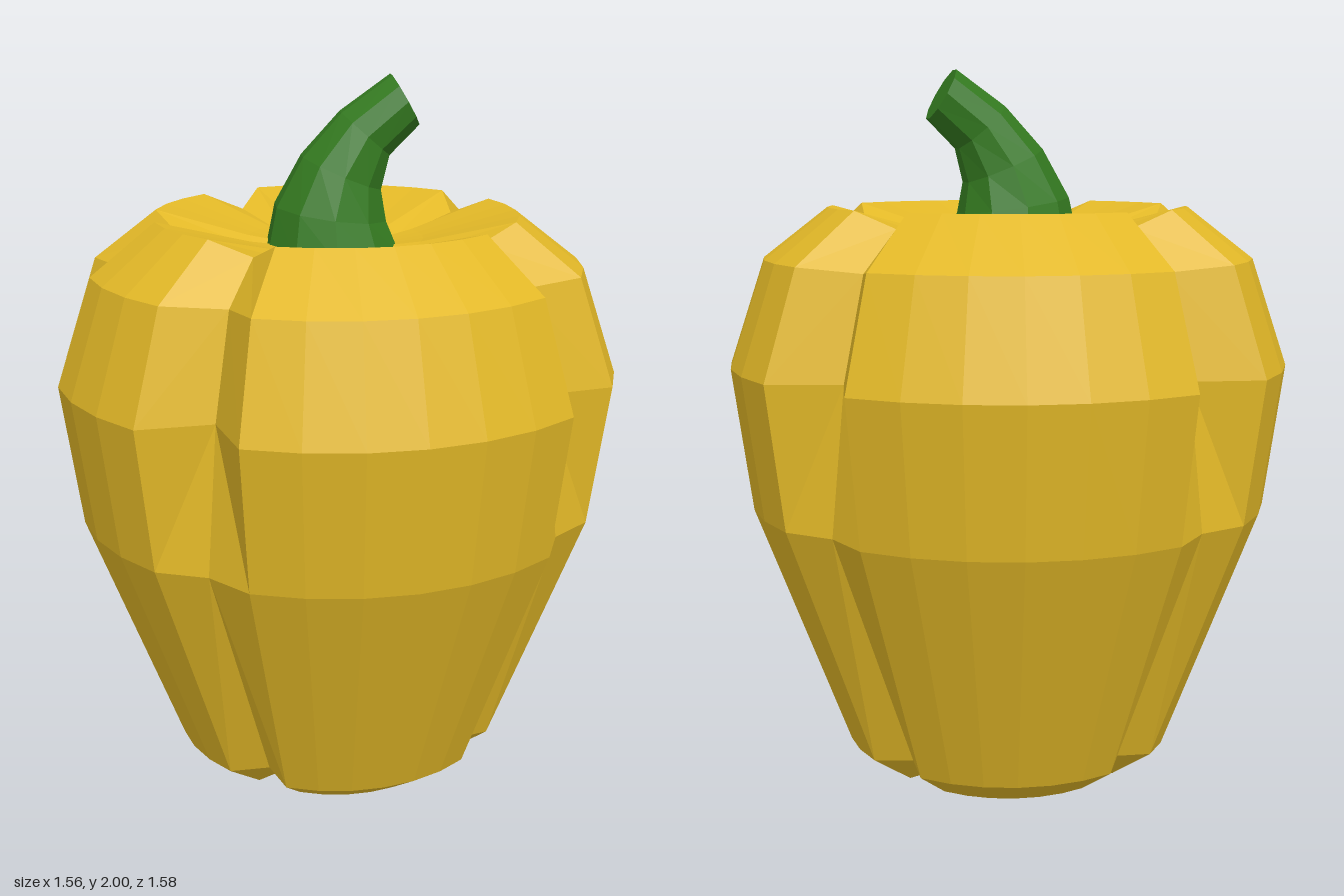
import * as THREE from 'three';

// Skin a list of point rings (bottom to top) with flat triangles.
function loft(rings, valleys, color, name) {
  const n = rings[0].length, pos = [];
  const tri = (a, b, c) => {
    const area = b.clone().sub(a).cross(c.clone().sub(a)).length();
    if (area > 1e-7) for (const p of [a, b, c]) pos.push(p.x, p.y, p.z);
  };
  for (let k = 0; k + 1 < rings.length; k++) {
    const lo = rings[k], hi = rings[k + 1];
    for (let i = 0; i < n; i++) {
      const j = (i + 1) % n;
      // The diagonal always starts at the upper end of a valley.
      if (valleys.includes(i)) {
        tri(lo[i], hi[i], lo[j]);
        tri(hi[i], hi[j], lo[j]);
      } else {
        tri(lo[i], hi[i], hi[j]);
        tri(lo[i], hi[j], lo[j]);
      }
    }
  }
  const geometry = new THREE.BufferGeometry();
  geometry.setAttribute('position', new THREE.Float32BufferAttribute(pos, 3));
  geometry.computeVertexNormals();
  const mesh = new THREE.Mesh(geometry, new THREE.MeshStandardMaterial({ color, flatShading: true }));
  mesh.name = name;
  return mesh;
}

// Five-lobed fruit: each profile row is lobe radius, lobe y, valley radius, valley y.
function createFruit() {
  const sides = 32, valleys = [3, 11, 16, 21, 29];
  const profile = [
    [0, 0.08, 0, 0.08],
    [0.352, 0, 0.29, 0.03],
    [0.472, 0.085, 0.40, 0.09],
    [0.735, 0.79, 0.685, 0.79],
    [0.788, 1.19, 0.635, 1.19],
    [0.688, 1.487, 0.56, 1.47],
    [0.507, 1.627, 0.44, 1.58],
    [0.245, 1.56, 0.22, 1.53],
    [0, 1.52, 0, 1.52],
  ];
  const rings = profile.map(([r, y, vr, vy]) =>
    Array.from({ length: sides }, (_, i) => {
      const a = (i / sides) * Math.PI * 2;
      const inValley = valleys.includes(i);
      const radius = inValley ? vr : r;
      return new THREE.Vector3(Math.cos(a) * radius, inValley ? vy : y, Math.sin(a) * radius);
    }));
  return loft(rings, valleys, 0xe2b827, 'fruit');
}

// Curved stem: each row is centre x, centre y, radius, lean in degrees.
function createStem() {
  const sides = 10;
  const path = [
    [-0.01, 1.52, 0, 0],
    [-0.01, 1.52, 0.192, 0],
    [-0.015, 1.63, 0.16, 8],
    [0.015, 1.74, 0.122, 23],
    [0.08, 1.845, 0.092, 41],
    [0.19, 1.935, 0.08, 60],
    [0.19, 1.935, 0, 60],
  ];
  const rings = path.map(([x, y, r, lean]) => {
    const p = THREE.MathUtils.degToRad(lean);
    return Array.from({ length: sides }, (_, i) => {
      const a = ((i + 0.5) / sides) * Math.PI * 2;
      const u = Math.cos(a) * r;
      return new THREE.Vector3(x + u * Math.cos(p), y - u * Math.sin(p), Math.sin(a) * r);
    });
  });
  return loft(rings, [], 0x347a20, 'stem');
}

export function createModel() {
  const group = new THREE.Group();
  group.name = 'bellPepper';
  group.add(createFruit(), createStem());
  return group;
}
